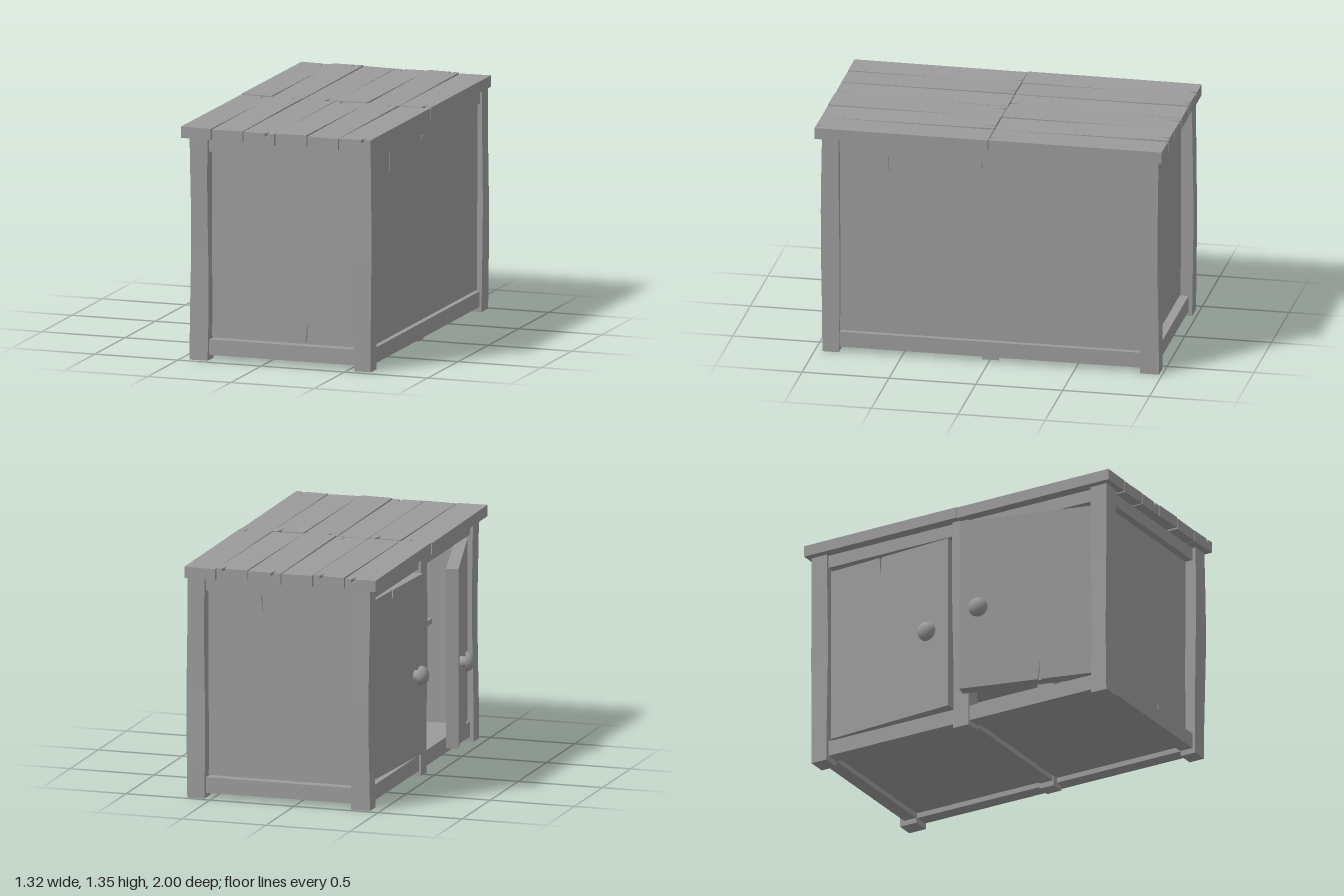
import * as THREE from 'three';
import { mergeGeometries } from 'three/addons/utils/BufferGeometryUtils.js';

const material = new THREE.MeshStandardMaterial({ color: 0x9b9b9b, flatShading: true });
const smooth = new THREE.MeshStandardMaterial({ color: 0x9b9b9b });

function add(parent, name, geometry, mat = material) {
  const mesh = new THREE.Mesh(geometry, mat);
  mesh.name = name;
  parent.add(mesh);
  return mesh;
}

// Box given by its limits on each axis
function block(parent, name, [x0, x1], [y0, y1], [z0, z1]) {
  const mesh = add(parent, name, new THREE.BoxGeometry(x1 - x0, y1 - y0, z1 - z0));
  mesh.position.set((x0 + x1) / 2, (y0 + y1) / 2, (z0 + z1) / 2);
}

// Upright post with gently uneven, hand-cut sides
function post(parent, name, [x0, x1], [y0, y1], [z0, z1], seed) {
  const g = new THREE.BoxGeometry(x1 - x0, y1 - y0, z1 - z0, 1, 6, 1);
  const p = g.attributes.position;
  for (let i = 0; i < p.count; i++) {
    const y = p.getY(i), sx = Math.sign(p.getX(i)), sz = Math.sign(p.getZ(i));
    p.setX(i, p.getX(i) + 0.004 * Math.sin(y * 5 + seed + sx));
    p.setZ(i, p.getZ(i) + 0.004 * Math.sin(y * 4 + seed * 2 + sz));
  }
  g.computeVertexNormals();
  const mesh = add(parent, name, g);
  mesh.position.set((x0 + x1) / 2, (y0 + y1) / 2, (z0 + z1) / 2);
}

// Flat board with wedge cracks [position, length] cut into its lower and upper edges
function board([x0, x1], [y0, y1], depth, low = [], high = []) {
  const s = new THREE.Shape();
  const crack = (x, y, dir, len, run) => {
    s.lineTo(x - run * 0.011, y);
    s.lineTo(x - run * 0.004, y + dir * len * 0.4);
    s.lineTo(x, y + dir * len);
    s.lineTo(x + run * 0.003, y + dir * len * 0.4);
    s.lineTo(x + run * 0.008, y);
  };
  s.moveTo(x0, y0);
  low.forEach(([x, len]) => crack(x, y0, 1, len, 1));
  s.lineTo(x1, y0);
  s.lineTo(x1, y1);
  high.forEach(([x, len]) => crack(x, y1, -1, len, -1));
  s.lineTo(x0, y1);
  s.closePath();
  return new THREE.ExtrudeGeometry(s, { depth, bevelEnabled: false });
}

// Wall: cracked face in front of a plain backing, outer face at local z = 0
function wall(parent, name, half, low, high) {
  const group = new THREE.Group();
  group.name = name;
  parent.add(group);
  add(group, name + 'Face', board([-half, half], [0.13, 1.2], 0.015, low, high)).position.z = -0.015;
  block(group, name + 'Backing', [-half, half], [0.1, 1.27], [-0.04, -0.015]);
  return group;
}

// Door hung on its outer edge; side is the direction it extends from the hinge
function door(parent, name, side, hingeZ, angle, low, high) {
  const group = new THREE.Group();
  group.name = name;
  parent.add(group);
  const span = side > 0 ? [0, 0.8] : [-0.8, 0];
  add(group, name + 'Face', board(span, [0.14, 1.18], 0.015, low, high)).position.z = -0.015;
  block(group, name + 'Board', span, [0.14, 1.18], [-0.07, -0.015]);
  // Round knob on a short stem
  const profile = [[0, 0], [0.03, 0], [0.03, 0.033], [0.03, 0.033], [0.057, 0.033], [0.057, 0.033],
    [0.055, 0.046], [0.047, 0.063], [0.033, 0.074], [0.017, 0.08], [0, 0.082]]
    .map(([r, y]) => new THREE.Vector2(r, y));
  const knob = add(group, name + 'Knob', new THREE.LatheGeometry(profile, 24), smooth);
  knob.rotation.x = Math.PI / 2;
  knob.position.set(side * 0.68, 0.617, 0);
  group.position.set(-0.408, 0, hingeZ);
  group.rotation.y = -Math.PI / 2 - side * angle;
}

// Top plank: cracked surface layer on a solid body, slightly tapered and tilted
function plank(parent, x0, x1, z, seed, low, high) {
  const span = [x0 + 0.002, x1 - 0.002], length = [-0.498, 0.498];
  const body = board(span, length, 0.047);
  const surface = board(span, length, 0.018, low, high).translate(0, 0, 0.047);
  const g = mergeGeometries([body, surface]).rotateX(-Math.PI / 2);
  const p = g.attributes.position, mid = (x0 + x1) / 2;
  for (let k = 0; k < p.count; k++) {
    const x = p.getX(k), pz = p.getZ(k);
    p.setX(k, mid + (x - mid) * (1 - 0.015 * (1 + Math.sin(pz * 3 + seed * 2))));
    p.setY(k, p.getY(k) + 0.003 * Math.sin(seed * 2.3 + pz * 2) + 0.012 * (x - mid) * (seed % 2 ? 1 : -1));
  }
  g.computeVertexNormals();
  add(parent, 'topPlank', g).position.set(0, 1.277, z);
}

export function createModel() {
  const model = new THREE.Group();
  model.name = 'cabinet';

  // Corner legs and middle posts
  const left = [0.54, 0.645], right = [-0.44, -0.335];
  const front = [0.86, 0.96], back = [-0.978, -0.875];
  [left, right].forEach((x, i) => [front, back].forEach((z, j) =>
    post(model, 'cornerLeg', x, [0, 1.28], z, i * 2 + j)));
  post(model, 'middlePost', right, [0, 1.28], [-0.05, 0.05], 5);
  post(model, 'middlePost', [0.505, 0.595], [0, 1.28], [-0.05, 0.05], 6);

  // Rails between the legs, low and high
  for (const y of [[0.03, 0.12], [1.2, 1.275]]) {
    block(model, 'frontRail', [-0.335, 0.54], y, [0.86, 0.94]);
    block(model, 'backRail', [-0.335, 0.54], y, [-0.955, -0.875]);
    block(model, 'leftRail', [0.545, 0.63], y, [-0.875, 0.86]);
    for (const z of [[-0.875, -0.05], [0.05, 0.86]]) {
      block(model, 'doorRail', [-0.425, -0.34], y, z);
    }
    block(model, 'crossRail', [-0.335, 0.505], y, [-0.042, 0.042]);
  }

  // Recessed walls
  const frontWall = wall(model, 'frontWall', 0.4375, [[0.135, 0.12]], []);
  frontWall.position.set(0.1025, 0, 0.895);
  const backWall = wall(model, 'backWall', 0.4375, [], [[-0.117, 0.12]]);
  backWall.position.set(0.1025, 0, -0.91);
  backWall.rotation.y = Math.PI;
  const leftWall = wall(model, 'leftWall', 0.8675, [], [[-0.047, 0.06], [-0.585, 0.12]]);
  leftWall.position.set(0.615, 0, -0.0075);
  leftWall.rotation.y = Math.PI / 2;

  // Floor and inner shelf
  block(model, 'floor', [-0.36, 0.56], [0.06, 0.1], [-0.88, 0.865]);
  block(model, 'shelf', [-0.2, 0.58], [0.67, 0.7], [-0.88, 0.865]);

  // One door slightly ajar, one standing open
  door(model, 'backDoor', 1, -0.87, 0.06, [], [[0.34, 0.12]]);
  door(model, 'frontDoor', -1, 0.87, 0.257, [[-0.33, 0.11]], []);

  // Two rows of top planks with small cracks in their ends
  const edges = [-0.487, -0.3, -0.11, 0.08, 0.275, 0.465, 0.657];
  const farCracks = { 0: -0.35, 1: -0.16, 3: 0.13, 4: 0.42 };
  const nearCracks = { 2: 0.03, 5: 0.61 };
  for (const z of [-0.501, 0.501]) {
    for (let i = 0; i < 6; i++) {
      const low = i in nearCracks ? [[nearCracks[i], 0.075]] : [];
      const high = i in farCracks ? [[farCracks[i], 0.07]] : [];
      plank(model, edges[i], edges[i + 1], z, i, low, high);
    }
  }
  return model;
}
